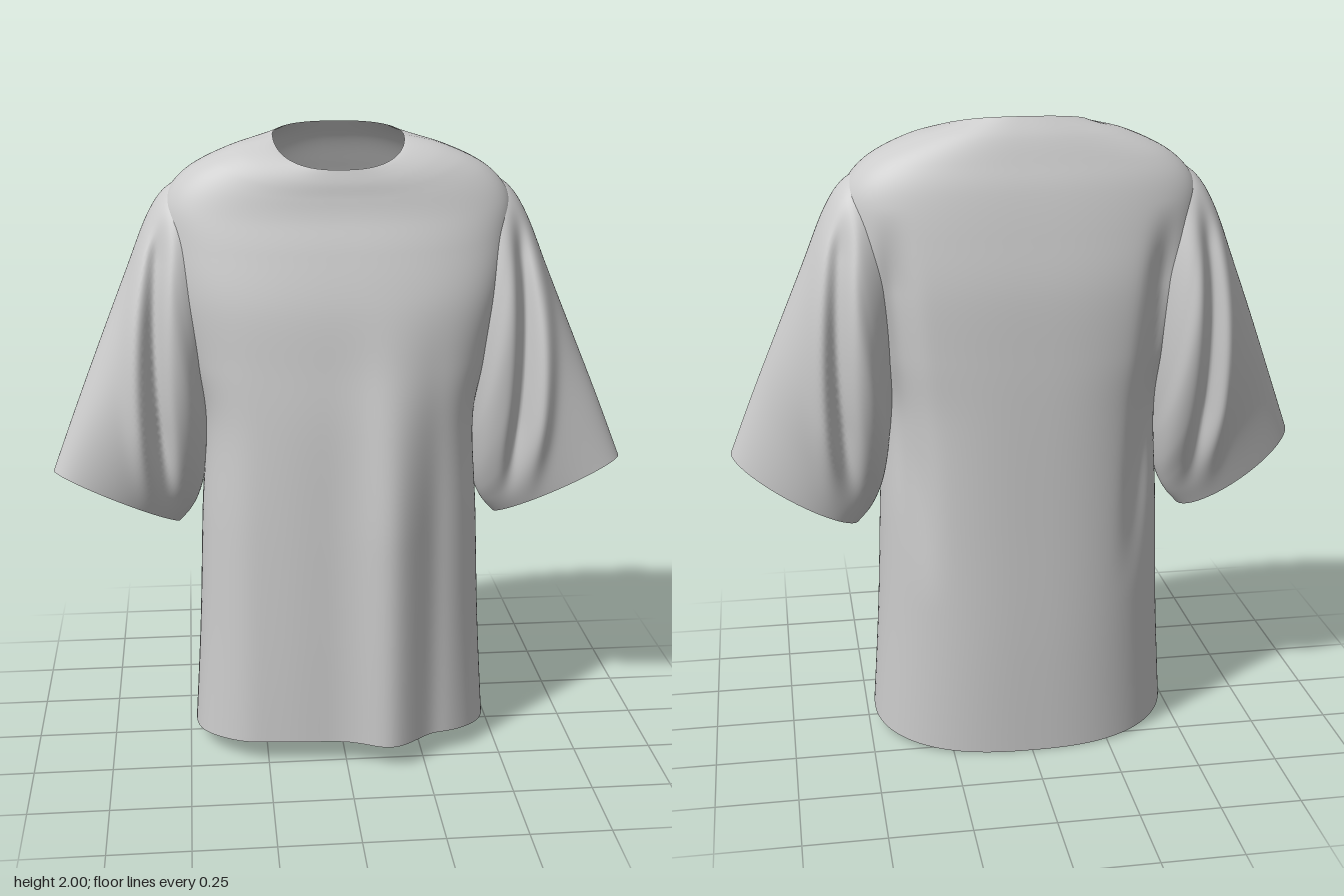
import * as THREE from 'three';

const cloth = new THREE.MeshStandardMaterial({ color: 0xcccccc, side: THREE.DoubleSide });
const bump = (x, centre, width) => Math.exp(-(((x - centre) / width) ** 2));
const smooth = (lo, hi, x) => THREE.MathUtils.smoothstep(x, lo, hi);
const power = (x, e) => Math.sign(x) * Math.abs(x) ** e;

// Smoothly interpolates rows of section parameters (t from 0 to 1)
function sample(rows, t) {
  const f = t * (rows.length - 1);
  const i = Math.min(Math.floor(f), rows.length - 2), u = f - i;
  const at = k => rows[THREE.MathUtils.clamp(k, 0, rows.length - 1)];
  return rows[0].map((_, c) => {
    const [a, b, d, e] = [at(i - 1)[c], at(i)[c], at(i + 1)[c], at(i + 2)[c]];
    return b + 0.5 * u * (d - a + u * (2 * a - 5 * b + 4 * d - e + u * (3 * (b - d) + e - a)));
  });
}

// Open tube whose closed rings are given by point(angle, t); faces starting in a hole are left out
function loft(name, around, along, point, inHole = () => false) {
  const pos = [], index = [];
  for (let j = 0; j <= along; j++) {
    for (let i = 0; i < around; i++) {
      const p = point((i / around) * Math.PI * 2, j / along);
      pos.push(...p);
      if (j === along || inHole(p)) continue;
      const k = (i + 1) % around, r = j * around, s = r + around;
      index.push(r + i, r + k, s + k, r + i, s + k, s + i);
    }
  }
  const geo = new THREE.BufferGeometry();
  geo.setAttribute('position', new THREE.Float32BufferAttribute(pos, 3));
  geo.setIndex(index);
  geo.computeVertexNormals();
  const mesh = new THREE.Mesh(geo, cloth);
  mesh.name = name;
  return mesh;
}

// Body sections: half width, front z, back z, y at front, side and back, roundness of front and back
const bodyRows = [
  [0.48, 0.275, -0.32, 0.085, 0.05, 0.005, 0.74, 1.0],
  [0.458, 0.275, -0.33, 0.42, 0.4, 0.37, 0.74, 0.95],
  [0.442, 0.27, -0.333, 0.8, 0.78, 0.76, 0.72, 0.85],
  [0.425, 0.26, -0.335, 1.1, 1.1, 1.1, 0.66, 0.7],
  [0.465, 0.24, -0.333, 1.3, 1.3, 1.3, 0.64, 0.64],
  [0.51, 0.215, -0.325, 1.48, 1.5, 1.5, 0.64, 0.64],
  [0.535, 0.17, -0.3, 1.64, 1.66, 1.66, 0.66, 0.66],
  [0.535, 0.135, -0.272, 1.74, 1.78, 1.79, 0.7, 0.72],
  [0.465, 0.12, -0.245, 1.8, 1.872, 1.87, 0.74, 0.74],
  [0.33, 0.112, -0.215, 1.845, 1.94, 1.945, 0.74, 0.74],
  [0.2, 0.1, -0.18, 1.885, 1.972, 2.0, 0.74, 0.74],
];

function bodyPoint(a, t) {
  const [w, front, back, yF, yS, yB, roundF, roundB] = sample(bodyRows, t);
  const s = Math.sin(a), c = Math.cos(a);
  const x = w * power(s, 0.78);
  // Hem and collar slope evenly from front to back
  const y = yS + ((c > 0 ? yF : yB) - yS) * Math.abs(c) ** (1 + Math.min(1, 8 * t * (1 - t)));
  const mid = (front + back) / 2;
  let z = mid + ((front - back) / 2) * power(c, c > 0 ? roundF : roundB);
  if (c > 0) {
    // Draped folds, fading out towards the chest
    const drape = (1 - smooth(0.75, 1.55, y)) * Math.sqrt(c);
    z += drape * (0.062 * bump(x, 0.14, 0.1) + 0.01 * bump(x, -0.33, 0.07) - 0.012 * bump(x, 0.28, 0.05));
  } else {
    // Hollows beside the shoulder blades
    const reach = smooth(0.5, 1.0, y) * (1 - smooth(1.5, 1.75, y));
    z += 0.04 * reach * Math.sqrt(-c) * bump(Math.abs(x), 0.37 + 0.08 * (y - 1.1), 0.045);
  }
  return [x, y, z];
}

// Openings in the body where the sleeves join
const inArmhole = ([x, y, z]) =>
  Math.abs(x) > 0.35 && ((z + 0.07) / 0.13) ** 2 + ((y - 1.42) / 0.3) ** 2 < 1;

// Sleeve sections: outer edge x, y, z; inner edge x, y, z; half depth
const sleeveRows = [
  [0.46, 1.855, -0.07, 0.395, 1.13, -0.07, 0.155],
  [0.535, 1.81, -0.075, 0.41, 1.04, -0.07, 0.195],
  [0.592, 1.725, -0.075, 0.42, 0.96, -0.07, 0.217],
  [0.66, 1.56, -0.065, 0.435, 0.88, -0.065, 0.205],
  [0.75, 1.34, -0.035, 0.455, 0.82, -0.06, 0.172],
  [0.83, 1.14, 0, 0.48, 0.775, -0.06, 0.138],
  [0.905, 0.945, 0.025, 0.515, 0.735, -0.06, 0.112],
];

function sleevePoint(side) {
  return (angle, t) => {
    const a = angle * side;
    const [ox, oy, oz, ix, iy, iz, depth] = sample(sleeveRows, t);
    const k = (1 + Math.cos(a)) / 2, s = Math.sin(a);
    const x = ix + (ox - ix) * k;
    const y = iy + (oy - iy) * k + 0.02 * s * t * t;
    // Gathered folds hanging from the shoulder seam
    const fade = smooth(0.78, 1.1, y) * (1 - smooth(1.6, 1.8, y)) * Math.abs(s);
    const sway = 0.04 * Math.sin((y - 0.8) * 3);
    const fold = s > 0
      ? 0.025 * bump(x, 0.6 + sway, 0.03) - 0.055 * bump(x, 0.535 + sway, 0.028)
      : 0.02 * bump(x, 0.59 + sway, 0.03) - 0.05 * bump(x, 0.53 + sway, 0.03);
    const z = iz + (oz - iz) * k + s * depth + Math.sign(s) * fade * fold;
    return [side * x, y, z];
  };
}

export function createModel() {
  const shirt = new THREE.Group();
  shirt.name = 'tShirt';
  shirt.add(loft('body', 160, 120, bodyPoint, inArmhole));
  shirt.add(loft('leftSleeve', 112, 56, sleevePoint(1)));
  shirt.add(loft('rightSleeve', 112, 56, sleevePoint(-1)));
  return shirt;
}
